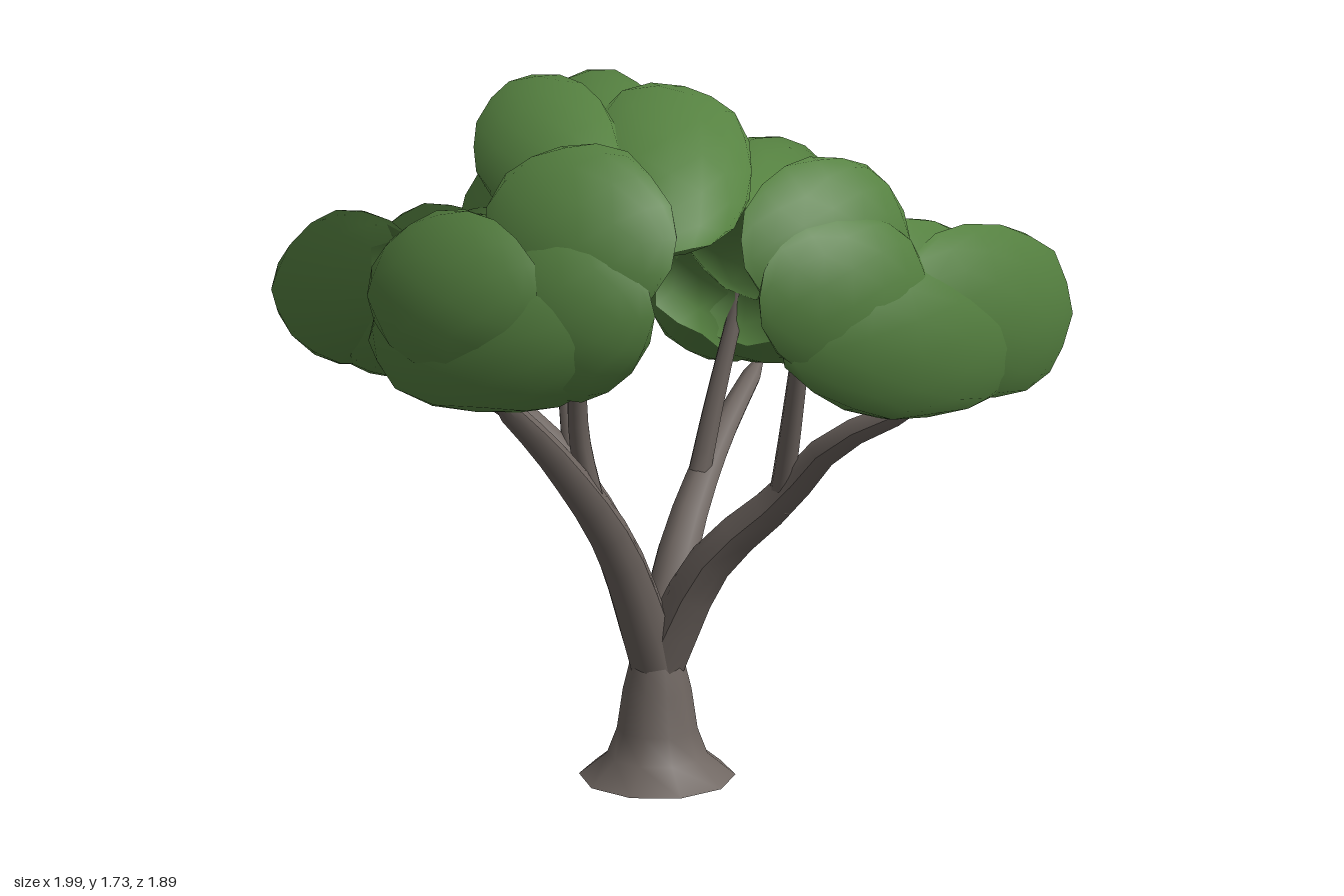
import * as THREE from 'three';
import { toCreasedNormals } from 'three/addons/utils/BufferGeometryUtils.js';

const bark = new THREE.MeshStandardMaterial({ color: 0x6e6560 });
bark.name = 'bark';
const leaf = new THREE.MeshStandardMaterial({ color: 0x568241 });
leaf.name = 'leaf green';

// Tapered limb along a smooth path, closing to a point at the tip
function limb(name, points, r0, r1) {
  const curve = new THREE.CatmullRomCurve3(points.map(p => new THREE.Vector3(...p)), false, 'centripetal');
  const segments = 10, sides = 8;
  const geo = new THREE.TubeGeometry(curve, segments, 1, sides);
  const pos = geo.attributes.position, v = new THREE.Vector3();
  for (let i = 0; i < pos.count; i++) {
    const ring = Math.floor(i / (sides + 1)), t = ring / segments;
    const c = curve.getPointAt(t);
    const r = ring === segments ? 0.004 : r0 + (r1 - r0) * t;
    v.fromBufferAttribute(pos, i).sub(c).multiplyScalar(r).add(c);
    pos.setXYZ(i, v.x, v.y, v.z);
  }
  geo.computeVertexNormals();
  const mesh = new THREE.Mesh(geo, bark);
  mesh.name = name;
  return mesh;
}

// Slightly lumpy leaf ball; its normals lean away from the middle of the crown
// so that each cluster shades as one soft mass
const crownCentre = new THREE.Vector3(0, 1.2, 0);
function leafBall([x, y, z, rx, ry = rx, rz = rx]) {
  const geo = new THREE.IcosahedronGeometry(1, 2);
  const pos = geo.attributes.position, nor = geo.attributes.normal;
  const p = new THREE.Vector3(), n = new THREE.Vector3();
  for (let i = 0; i < pos.count; i++) {
    p.fromBufferAttribute(pos, i);
    n.copy(p);
    const lump = 1 + 0.03 * Math.sin(5 * p.x + 9 * x) * Math.cos(4 * p.y + 7 * z) + 0.02 * Math.sin(6 * p.z + 8 * y);
    p.multiplyScalar(lump).multiply(new THREE.Vector3(rx, ry, rz)).add(new THREE.Vector3(x, y, z));
    pos.setXYZ(i, p.x, p.y, p.z);
    p.sub(crownCentre);
    p.y *= 1.4;
    n.multiplyScalar(0.3).addScaledVector(p.normalize(), 0.7).normalize();
    nor.setXYZ(i, n.x, n.y, n.z);
  }
  const mesh = new THREE.Mesh(geo, leaf);
  mesh.name = 'leafBall';
  return mesh;
}

// Each ball: x, y, z, radius (or three radii)
const clusters = {
  leftFoliage: [
    [0.46, 1.35, 0.18, 0.19], [0.80, 1.19, 0.10, 0.20], [0.63, 1.19, 0.0, 0.20],
    [0.53, 1.23, 0.28, 0.19], [0.64, 1.13, 0.15, 0.28, 0.18, 0.32]
  ],
  frontFoliage: [
    [-0.18, 1.26, 0.77, 0.175], [-0.02, 1.36, 0.46, 0.21], [-0.28, 1.2, 0.40, 0.21],
    [-0.02, 1.2, 0.55, 0.19], [-0.17, 1.15, 0.57, 0.27, 0.17, 0.32]
  ],
  rightFoliage: [
    [-0.80, 1.19, 0.03, 0.195], [-0.70, 1.19, -0.27, 0.20], [-0.40, 1.35, -0.24, 0.205],
    [-0.46, 1.2, -0.06, 0.20], [-0.67, 1.12, -0.12, 0.29, 0.18, 0.29]
  ],
  backFoliage: [
    [-0.05, 1.17, -0.75, 0.20], [0.13, 1.17, -0.69, 0.20], [0.29, 1.19, -0.53, 0.20],
    [0.15, 1.36, -0.40, 0.21], [0.0, 1.17, -0.52, 0.20], [0.12, 1.13, -0.60, 0.31, 0.17, 0.28]
  ],
  topFoliage: [
    [-0.18, 1.55, -0.10, 0.18], [0.02, 1.49, -0.02, 0.21], [-0.20, 1.55, 0.20, 0.17],
    [-0.11, 1.43, 0.03, 0.23, 0.14, 0.24]
  ]
};

// Main boughs and the twig that rises from each
const boughs = {
  left: [[[0, 0.28, 0], [0.14, 0.55, 0.02], [0.33, 0.73, 0.04], [0.46, 0.87, 0.08], [0.70, 0.99, 0.11]],
    [[0.32, 0.70, 0.04], [0.36, 0.9, 0.09], [0.42, 1.25, 0.16]]],
  front: [[[0, 0.28, 0], [-0.05, 0.60, 0.15], [-0.11, 0.84, 0.37], [-0.16, 1.04, 0.64]],
    [[-0.07, 0.72, 0.25], [-0.09, 0.9, 0.29], [-0.05, 1.22, 0.38]]],
  right: [[[0, 0.28, 0], [-0.16, 0.61, -0.06], [-0.41, 0.87, -0.12], [-0.70, 0.97, -0.13]],
    [[-0.25, 0.70, -0.09], [-0.30, 0.95, -0.16], [-0.37, 1.25, -0.24]]],
  back: [[[0, 0.28, 0], [0.01, 0.55, -0.14], [0.03, 0.76, -0.35], [0.07, 0.98, -0.67]],
    [[0.02, 0.72, -0.27], [0.05, 0.9, -0.30], [0.11, 1.22, -0.36]]]
};

export function createModel() {
  const tree = new THREE.Group();
  tree.name = 'tree';

  // Trunk with flared, slightly uneven foot
  const profile = [[0, 0], [0.195, 0], [0.125, 0.055], [0.1, 0.12], [0.085, 0.22], [0.07, 0.28], [0.057, 0.345], [0, 0.38]]
    .map(p => new THREE.Vector2(...p));
  const trunk = new THREE.Mesh(toCreasedNormals(new THREE.LatheGeometry(profile, 10), 0.9), bark);
  trunk.name = 'trunk';
  tree.add(trunk);

  for (const [side, [bough, twig]] of Object.entries(boughs)) {
    tree.add(limb(side + 'Bough', bough, 0.068, 0.022));
    tree.add(limb(side + 'Twig', twig, 0.03, 0.018));
  }

  for (const [name, balls] of Object.entries(clusters)) {
    const group = new THREE.Group();
    group.name = name;
    balls.forEach(b => group.add(leafBall(b)));
    tree.add(group);
  }
  return tree;
}
